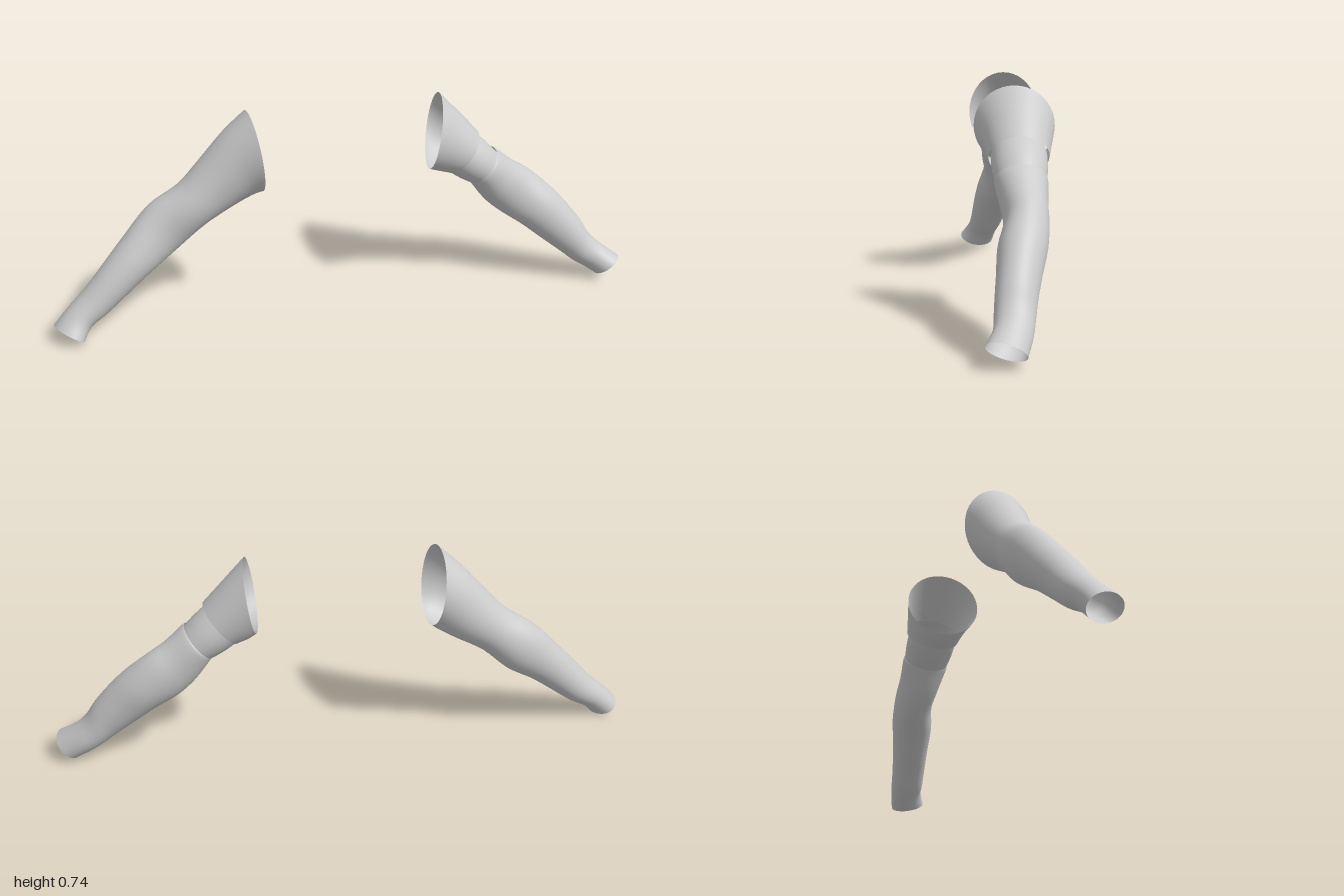
import * as THREE from 'three';

const SEGMENTS = 40; // points around each ring
const STEPS = 4; // smoothing steps between two rings

// Smooth interpolation of one ring value through its neighbours
function catmull(a, b, c, d, t) {
  return b + 0.5 * t * (c - a + t * (2 * a - 5 * b + 4 * c - d + t * (3 * (b - c) + d - a)));
}

function refine(rings) {
  const out = [];
  const at = (i) => rings[Math.min(Math.max(i, 0), rings.length - 1)];
  for (let i = 0; i < rings.length - 1; i++) {
    for (let s = 0; s < STEPS; s++) {
      out.push(at(i).map((v, k) => catmull(at(i - 1)[k], v, at(i + 1)[k], at(i + 2)[k], s / STEPS)));
    }
  }
  out.push(at(rings.length - 1));
  return out;
}

// Open fabric tube. A ring is [topX, topY, bottomX, bottomY, zBack, zFront, tiltX, tiltY];
// the tilt shifts the front of the ring one way and the back the other. side: +1 or -1 along x.
function tube(name, rings, material, side) {
  const rows = refine(rings);
  const positions = [];
  const index = [];
  for (const [tx, ty, bx, by, zb, zf, dx = 0, dy = 0] of rows) {
    for (let j = 0; j < SEGMENTS; j++) {
      const a = (j / SEGMENTS) * Math.PI * 2;
      const c = Math.cos(a);
      const s = Math.sin(a);
      positions.push(
        side * ((tx + bx) / 2 + ((tx - bx) / 2) * c + dx * s),
        (ty + by) / 2 + ((ty - by) / 2) * c + dy * s,
        (zb + zf) / 2 + ((zf - zb) / 2) * s
      );
    }
  }
  for (let i = 0; i < rows.length - 1; i++) {
    for (let j = 0; j < SEGMENTS; j++) {
      const a = i * SEGMENTS + j;
      const b = i * SEGMENTS + ((j + 1) % SEGMENTS);
      const c = a + SEGMENTS;
      const d = b + SEGMENTS;
      if (side > 0) index.push(a, b, c, b, d, c);
      else index.push(a, c, b, b, c, d);
    }
  }
  const geometry = new THREE.BufferGeometry();
  geometry.setAttribute('position', new THREE.Float32BufferAttribute(positions, 3));
  geometry.setIndex(index);
  geometry.computeVertexNormals();
  const mesh = new THREE.Mesh(geometry, material);
  mesh.name = name;
  return mesh;
}

export function createModel() {
  const fabric = new THREE.MeshStandardMaterial({ color: 0xcccccc, side: THREE.DoubleSide });
  fabric.name = 'light grey fabric';
  const model = new THREE.Group();
  model.name = 'pairOfSleeves';

  // Right sleeve: one long piece from shoulder opening to cuff
  const rightSleeve = [
    [0.318, 0.746, 0.286, 0.468, -0.13, 0.115, -0.012, 0],
    [0.4, 0.672, 0.312, 0.452, -0.122, 0.085, -0.006, 0],
    [0.49, 0.57, 0.377, 0.414, -0.113, 0.066, 0, 0],
    [0.56, 0.497, 0.473, 0.356, -0.102, 0.06, 0, 0],
    [0.66, 0.43, 0.564, 0.275, -0.1, 0.048, 0, 0],
    [0.76, 0.322, 0.66, 0.21, -0.075, 0.07, 0, 0],
    [0.82, 0.254, 0.74, 0.147, -0.055, 0.08, 0, 0],
    [0.89, 0.173, 0.82, 0.083, -0.035, 0.088, 0, 0],
    [0.955, 0.11, 0.88, 0.045, -0.015, 0.098, -0.008, 0.005],
    [1.0, 0.061, 0.912, 0.005, -0.003, 0.126, -0.02, 0.01],
  ];
  model.add(tube('rightSleeve', rightSleeve, fabric, -1));

  // Left sleeve: flared shoulder, upper arm band and lower sleeve
  const left = new THREE.Group();
  left.name = 'leftSleeve';
  const shoulder = [
    [0.334, 0.746, 0.293, 0.49, -0.131, 0.124, -0.017, 0],
    [0.4, 0.677, 0.32, 0.476, -0.12, 0.1, -0.008, 0],
    [0.472, 0.598, 0.36, 0.462, -0.107, 0.083, 0, 0],
  ];
  const band = [
    [0.435, 0.605, 0.338, 0.486, -0.096, 0.073, 0, 0],
    [0.463, 0.588, 0.362, 0.466, -0.1, 0.076, 0, 0],
    [0.505, 0.552, 0.408, 0.433, -0.098, 0.074, 0, 0],
    [0.541, 0.513, 0.457, 0.406, -0.09, 0.066, 0, 0],
  ];
  const lower = [
    [0.538, 0.522, 0.448, 0.411, -0.092, 0.068, 0, 0],
    [0.55, 0.515, 0.457, 0.4, -0.095, 0.07, 0, 0],
    [0.607, 0.468, 0.508, 0.332, -0.09, 0.056, 0, 0],
    [0.668, 0.428, 0.57, 0.276, -0.088, 0.05, 0, 0],
    [0.742, 0.364, 0.642, 0.227, -0.078, 0.072, 0, 0],
    [0.802, 0.3, 0.72, 0.165, -0.056, 0.08, 0, 0],
    [0.855, 0.232, 0.79, 0.11, -0.038, 0.088, 0, 0],
    [0.89, 0.176, 0.837, 0.072, -0.028, 0.093, 0, 0],
    [0.93, 0.136, 0.88, 0.045, -0.018, 0.098, -0.003, 0.006],
    [0.998, 0.086, 0.917, 0.021, 0.002, 0.122, -0.006, 0.016],
  ];
  left.add(tube('shoulderFlare', shoulder, fabric, 1));
  left.add(tube('upperArmBand', band, fabric, 1));
  left.add(tube('lowerSleeve', lower, fabric, 1));
  model.add(left);

  return model;
}
